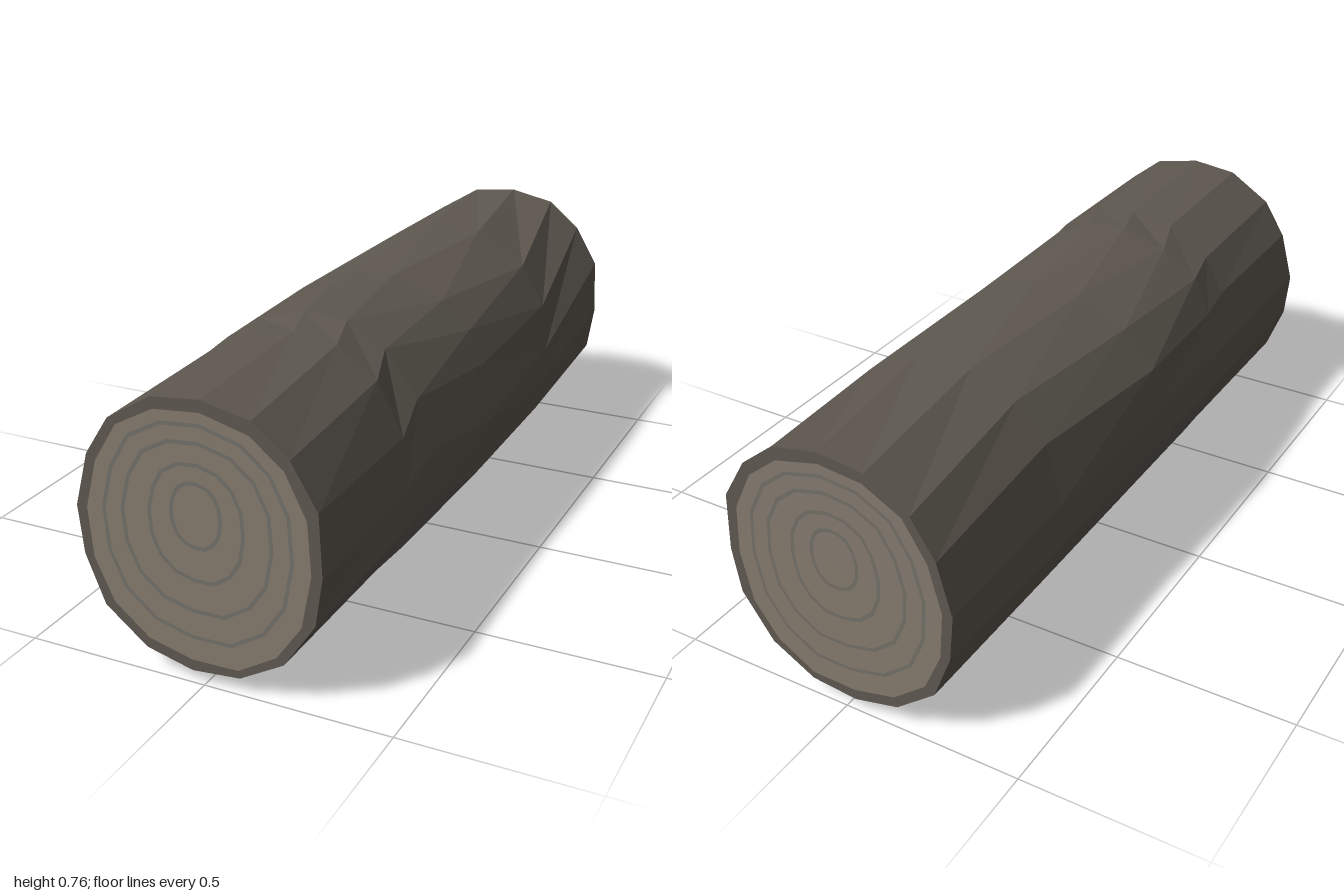
import * as THREE from 'three';

// Cross-sections [x, y], clockwise from the top as seen from the front
const END = [[-.106, .735], [.024, .749], [.155, .722], [.25, .645], [.318, .53], [.325, .367], [.305, .24], [.22, .115],
  [.1, .046], [-.03, .034], [-.157, .066], [-.27, .157], [-.32, .287], [-.332, .415], [-.293, .558], [-.227, .66]];
const FACE = [[-.1, .705], [.024, .717], [.149, .685], [.235, .615], [.289, .504], [.297, .367], [.269, .227], [.201, .13],
  [.096, .066], [-.03, .064], [-.149, .094], [-.243, .171], [-.293, .283], [-.303, .415], [-.269, .544], [-.205, .648]];
const KNOT = [[-.115, .735], [.01, .752], [.13, .735], [.24, .66], [.31, .52], [.325, .38], [.308, .25], [.235, .13],
  [.1, .045], [-.006, 0], [-.11, .05], [-.223, .086], [-.32, .285], [-.333, .415], [-.293, .558], [-.235, .66]];
const BULGE = [[-.157, .72], [-.026, .759], [.094, .75], [.2, .69], [.29, .57], [.33, .43], [.32, .28], [.26, .15],
  [.13, .045], [-.02, .025], [-.14, .06], [-.26, .14], [-.32, .28], [-.337, .41], [-.31, .55], [-.26, .65]];
const MIDDLE = [[-.1, .738], [.04, .747], [.19, .695], [.27, .62], [.315, .53], [.337, .365], [.305, .2], [.225, .1],
  [.12, .05], [-.03, .03], [-.1, .034], [-.26, .14], [-.325, .287], [-.335, .42], [-.327, .563], [-.243, .67]];
const TWIST = [[-.07, .745], [.09, .74], [.24, .655], [.31, .54], [.325, .4], [.32, .305], [.3, .2], [.23, .11],
  [.11, .05], [-.03, .04], [-.16, .065], [-.27, .155], [-.325, .285], [-.335, .43], [-.285, .59], [-.2, .69]];

const material = (color) => new THREE.MeshStandardMaterial({ color, flatShading: true });
const bark = material(0x5e5850);
const wood = material(0x857b6e);
const growth = material(0x737069);

const row = (points, z) => points.map(([x, y]) => [x, y, z]);

// Skin made from consecutive closed rows of points
function loft(name, rows, mat) {
  const pos = [];
  for (let r = 0; r < rows.length - 1; r++) {
    const a = rows[r], b = rows[r + 1], n = a.length;
    for (let k = 0; k < n; k++) {
      const j = (k + 1) % n;
      pos.push(...a[k], ...a[j], ...b[k], ...a[j], ...b[j], ...b[k]);
    }
  }
  const geo = new THREE.BufferGeometry();
  geo.setAttribute('position', new THREE.Float32BufferAttribute(pos, 3));
  geo.computeVertexNormals();
  const mesh = new THREE.Mesh(geo, mat);
  mesh.name = name;
  return mesh;
}

// Outline of a growth ring: the cut face scaled by sx, sy and centred at height cy
const ringOutline = (sx, sy, cy) => FACE.map(([x, y]) => [x * sx, cy + (y - .391) * sy]);

// Sawn end: nested flat bands from the bark rim to the pith
function cutEnd(name, z) {
  const group = new THREE.Group();
  group.name = name;
  const band = (label, outer, inner, mat) => {
    const rows = [row(outer, z), row(inner, z)];
    group.add(loft(label, z > 0 ? rows.reverse() : rows, mat));
  };
  band('barkRim', END, FACE, bark);
  let outer = FACE;
  const rings = [[.855, .867, .407], [.68, .687, .421], [.435, .475, .435], [.235, .268, .455]];
  for (const [sx, sy, cy] of rings) {
    const edge = ringOutline(sx, sy, cy);
    const inside = ringOutline(sx - .033, sy - .03, cy);
    band('woodBand', outer, edge, wood);
    band('growthRing', edge, inside, growth);
    outer = inside;
  }
  band('pith', outer, ringOutline(0, 0, .455), wood);
  return group;
}

export function createModel() {
  const log = new THREE.Group();
  log.name = 'log';
  // Bark along the length, front to back
  log.add(loft('bark', [row(END, 1), row(KNOT, .53), row(BULGE, .4),
    row(MIDDLE, 0), row(TWIST, -.5), row(END, -1)], bark));
  log.add(cutEnd('frontCut', 1), cutEnd('backCut', -1));
  return log;
}
